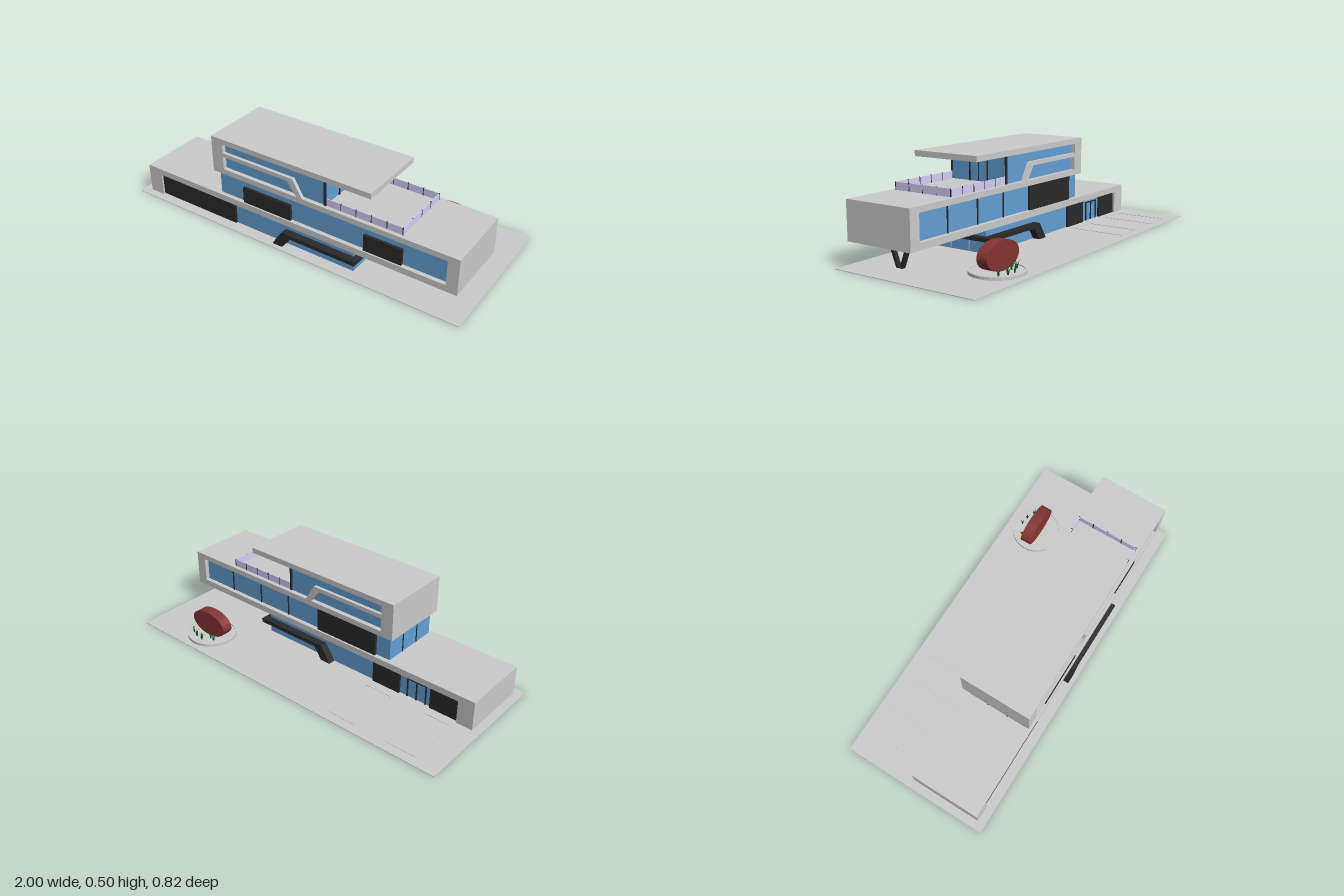
import * as THREE from 'three';

const mat = (color) => new THREE.MeshStandardMaterial({ color, flatShading: true });

export function createModel() {
  const root = new THREE.Group();
  const grey = mat(0xcccccc), glass = mat(0x649fd3), dark = mat(0x2a2a2a);
  const red = mat(0x843432), lilac = mat(0xd4cff5), green = mat(0x1f5a28);

  const add = (name, geometry, material, parent = root) => {
    const mesh = new THREE.Mesh(geometry, material);
    mesh.name = name;
    parent.add(mesh);
    return mesh;
  };
  // box given by its limits on each axis
  const box = (name, m, x0, x1, y0, y1, z0, z1, parent) => {
    const b = add(name, new THREE.BoxGeometry(x1 - x0, y1 - y0, z1 - z0), m, parent);
    b.position.set((x0 + x1) / 2, (y0 + y1) / 2, (z0 + z1) / 2);
    return b;
  };
  // x-y outline extruded from z0 to z1
  const slab = (name, m, pts, z0, z1) => {
    const shape = new THREE.Shape(pts.map(([x, y]) => new THREE.Vector2(x, y)));
    const g = new THREE.ExtrudeGeometry(shape, { depth: z1 - z0, bevelEnabled: false });
    return add(name, g.translate(0, 0, z0), m);
  };

  const Z0 = -0.025, Z1 = 0.368, G0 = 0, G1 = 0.345;

  box('ground', grey, -1, 1, 0, 0.003, -0.412, 0.412);

  // continuous folded concrete ribbon: garage wall, floors, end walls, roof
  slab('concreteRibbon', grey, [
    [-0.955, 0.003], [-0.865, 0.003], [-0.865, 0.13], [0.955, 0.13], [0.955, 0.33],
    [-0.395, 0.33], [-0.395, 0.475], [0.49, 0.475], [0.49, 0.505], [-0.465, 0.505],
    [-0.465, 0.3], [0.895, 0.3], [0.895, 0.165], [-0.955, 0.165],
  ], Z0, Z1);

  // glazed storeys
  box('groundFloorGlass', glass, -0.865, 0.39, 0.003, 0.13, G0, G1);
  box('middleFloorGlass', glass, -0.44, 0.895, 0.165, 0.3, G0, G1);
  box('topFloorGlass', glass, -0.395, 0.225, 0.33, 0.475, G0, G1);

  // slanted window bands on both long sides of the top storey
  for (const [a, b] of [[0.35, Z1], [Z0, -0.007]]) {
    slab('slantedWindowBand', grey, [
      [-0.4, 0.403], [0.013, 0.403], [0.067, 0.329], [0.102, 0.329], [0.045, 0.425], [-0.4, 0.425],
    ], a, b);
  }

  // dark wall panels
  box('garagePanelFront', dark, -0.865, -0.345, 0.006, 0.13, G1, 0.358);
  for (const [a, b] of [[-0.514, -0.347], [-0.865, -0.7]])
    box('garageDoorBack', dark, a, b, 0.004, 0.13, -0.013, G0);
  for (const [a, b] of [[-0.28, 0.02], [0.45, 0.66]])
    box('windowPanelFront', dark, a, b, 0.165, 0.255, G1, 0.36);
  box('windowPanelBack', dark, -0.355, 0.03, 0.165, 0.3, -0.015, G0);

  // entrance door frame at the back
  for (const x of [-0.67, -0.615, -0.56])
    box('entranceDoorPost', dark, x - 0.003, x + 0.003, 0.003, 0.11, -0.006, G0);
  box('entranceDoorHead', dark, -0.673, -0.557, 0.107, 0.113, -0.006, G0);

  // mullions
  for (const x of [0.25, 0.458, 0.68])
    box('backMullion', dark, x - 0.003, x + 0.003, 0.165, 0.3, -0.005, G0);
  for (const z of [0.107, 0.225]) {
    box('groundFloorMullion', grey, 0.39, 0.393, 0.003, 0.13, z - 0.002, z + 0.002);
    box('middleFloorMullion', dark, -0.444, -0.44, 0.165, 0.3, z - 0.002, z + 0.002);
  }

  // terrace door and corner posts of the top storey
  for (const z of [0.115, 0.228])
    box('terraceDoorPost', dark, 0.224, 0.231, 0.33, 0.475, z - 0.003, z + 0.003);
  box('terraceDoorCentre', dark, 0.224, 0.229, 0.33, 0.453, 0.1705, 0.1735);
  box('terraceDoorHead', dark, 0.224, 0.231, 0.45, 0.455, 0.115, 0.228);
  for (const z of [-0.003, 0.348])
    box('cornerPost', dark, 0.219, 0.231, 0.33, 0.475, z - 0.004, z + 0.004);

  // terrace railing
  const railing = new THREE.Group();
  railing.name = 'terraceRailing';
  root.add(railing);
  const xe = 0.653;
  const post = (x, z) => box('railingPost', dark, x - 0.002, x + 0.002, 0.33, 0.371, z - 0.003, z + 0.003, railing);
  for (const z of [0, G1]) {
    box('railingSidePanel', lilac, 0.23, xe, 0.33, 0.37, z - 0.002, z + 0.002, railing);
    for (let i = 0; i <= 5; i++) post(0.23 + (i * (xe - 0.23)) / 5, z);
  }
  box('railingEndPanel', lilac, xe - 0.002, xe + 0.002, 0.33, 0.37, 0, G1, railing);
  for (let i = 1; i < 4; i++) post(xe, (i * G1) / 4);

  // dark bent beam wrapping the ground floor
  for (const [a, b] of [[G1, 0.387], [-0.042, G0]]) {
    slab('bentBeam', dark, [
      [-0.078, 0.003], [-0.018, 0.003], [0.028, 0.07], [0.42, 0.07], [0.42, 0.092], [-0.02, 0.092],
    ], a, b);
  }
  box('beamCrossbar', dark, 0.39, 0.42, 0.07, 0.092, G0, G1);

  // V-shaped column under the overhang
  for (const s of [-1, 1]) {
    const z = (d) => 0.172 + s * d;
    const sh = new THREE.Shape([[z(0), 0], [z(0.018), 0], [z(0.07), 0.132], [z(0.05), 0.132]]
      .map(([x, y]) => new THREE.Vector2(x, y)));
    const leg = add('vColumnLeg', new THREE.ExtrudeGeometry(sh, { depth: 0.02, bevelEnabled: false }), dark);
    leg.rotation.y = -Math.PI / 2;
    leg.position.x = 0.825;
  }

  // parking bay outlines
  for (const [a, b] of [[-0.505, -0.345], [-0.86, -0.7]]) {
    for (const x of [a, b]) box('parkingLine', grey, x - 0.004, x + 0.004, 0, 0.005, -0.36, -0.057);
    for (const z of [-0.36, -0.065]) box('parkingLine', grey, a, b, 0, 0.005, z, z + 0.008);
  }

  // round planter with standing oval sculpture
  const planter = new THREE.Group();
  planter.name = 'planter';
  planter.position.set(0.62, 0, -0.243);
  root.add(planter);
  add('planterBase', new THREE.CylinderGeometry(0.128, 0.128, 0.012, 32), grey, planter).position.y = 0.008;
  const rim = [[0.127, 0.003], [0.137, 0.003], [0.137, 0.018], [0.127, 0.018], [0.127, 0.003]];
  add('planterRim', new THREE.LatheGeometry(rim.map(([r, y]) => new THREE.Vector2(r, y)), 32), grey, planter);
  const oval = new THREE.CylinderGeometry(1, 1, 0.06, 32).rotateX(Math.PI / 2).scale(0.122, 0.071, 1);
  add('ovalSculpture', oval, red, planter).position.set(-0.006, 0.085, 0);

  // tufts of pointed leaves
  const spots = [[0.55, -0.3], [0.58, -0.293], [0.61, -0.333], [0.655, -0.328], [0.7, -0.308]];
  spots.forEach(([x, z], k) => {
    const tuft = new THREE.Group();
    tuft.name = 'plant';
    tuft.position.set(x - 0.62, 0.013, z + 0.243);
    planter.add(tuft);
    for (let i = 0; i < 6; i++) {
      const h = 0.03 + 0.02 * ((i * 3 + k) % 4) / 3;
      const leaf = add('leaf', new THREE.ConeGeometry(0.004, h, 4).translate(0, h / 2, 0), green, tuft);
      leaf.rotation.set(0, i * 1.05 + k, 0.12 + 0.09 * (i % 3));
    }
  });

  return root;
}
